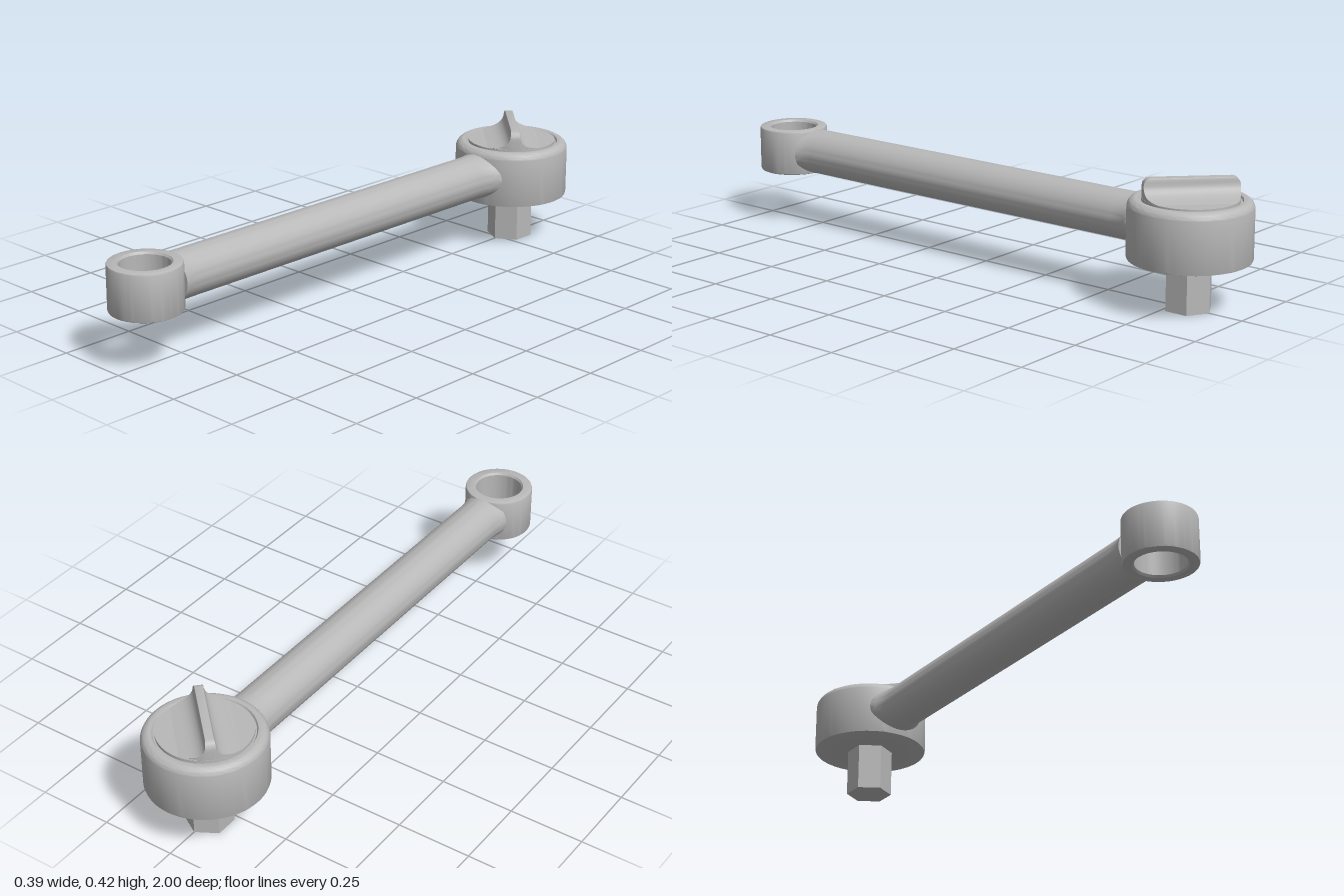
import * as THREE from 'three';
import { toCreasedNormals } from 'three/addons/utils/BufferGeometryUtils.js';

const HEAD_Z = -0.805;
const RING_Z = 0.883;

export function createModel() {
  const model = new THREE.Group();
  model.name = 'ratchetWrench';
  const steel = new THREE.MeshStandardMaterial({ color: 0xb8b8b8 });
  steel.name = 'steel';

  const add = (name, geometry, x, y, z) => {
    const mesh = new THREE.Mesh(geometry, steel);
    mesh.name = name;
    mesh.position.set(x, y, z);
    model.add(mesh);
    return mesh;
  };
  const lathe = (points, segments = 72) => toCreasedNormals(
    new THREE.LatheGeometry(points.map(([r, y]) => new THREE.Vector2(r, y)), segments), 0.6);

  // Round head: small lower bevel, large rounded shoulder, shallow groove round the dial
  const shoulder = [];
  for (let i = 0; i <= 8; i++) {
    const a = (i / 8) * Math.PI / 2;
    shoulder.push([0.168 + 0.027 * Math.cos(a), 0.322 + 0.03 * Math.sin(a)]);
  }
  add('head', lathe([
    [0, 0.16], [0.187, 0.16], [0.193, 0.162], [0.195, 0.168],
    ...shoulder, [0.16, 0.351], [0.156, 0.344], [0, 0.344],
  ]), 0, 0, HEAD_Z);

  // Dial plate inside the head
  add('dial', lathe([[0.151, 0.34], [0.151, 0.354], [0, 0.354]]), 0, 0, HEAD_Z);

  // Thumb grip: a diagonal blade with concave flanks, its ends following the dial edge
  add('thumbGrip', thumbGrip(), 0, 0, HEAD_Z).rotation.y = -Math.PI / 4;

  // Hexagonal drive, one corner facing the front
  add('hexDrive', new THREE.CylinderGeometry(0.0775, 0.0775, 0.165, 6).toNonIndexed(), 0, 0.0825, HEAD_Z);
  const hex = model.getObjectByName('hexDrive').geometry;
  hex.computeVertexNormals();

  // Handle: a round bar that widens sideways where it meets the head and the ring
  const stations = [-0.67, -0.635, -0.62, -0.605, -0.585, -0.56, -0.2, 0.2, 0.6, 0.73, 0.755, 0.775, 0.793];
  const handle = new THREE.LatheGeometry(
    [[0, -0.67], ...stations.map((z) => [0.077, z]), [0, 0.793]].map(([r, z]) => new THREE.Vector2(r, z)), 48);
  handle.rotateX(Math.PI / 2);
  const p = handle.attributes.position;
  for (let i = 0; i < p.count; i++) {
    const z = p.getZ(i);
    const toHead = THREE.MathUtils.clamp((-0.56 - z) / 0.08, 0, 1);
    const toRing = THREE.MathUtils.clamp((z - 0.73) / 0.063, 0, 1);
    p.setX(i, p.getX(i) * (1 + 0.35 * toHead ** 2 + 0.14 * toRing ** 2));
  }
  add('handle', toCreasedNormals(handle, 0.6), 0, 0.257, 0);

  // Hanging ring at the front end
  add('endRing', lathe([
    [0.08, 0.327], [0.08, 0.186], [0.085, 0.179], [0.111, 0.179], [0.115, 0.181], [0.117, 0.186],
    [0.117, 0.327], [0.115, 0.332], [0.111, 0.334], [0.085, 0.334], [0.08, 0.327],
  ]), 0, 0, RING_Z);

  return model;
}

// Stacks outlines of a strip clipped by a circle: [height, half width, circle radius]
function thumbGrip() {
  const levels = [
    [0.352, 0.1, 0.15], [0.3545, 0.09, 0.15], [0.357, 0.07, 0.15], [0.361, 0.052, 0.15],
    [0.366, 0.039, 0.15], [0.374, 0.028, 0.15], [0.383, 0.021, 0.15], [0.393, 0.017, 0.15],
    [0.403, 0.016, 0.148], [0.411, 0.015, 0.142], [0.415, 0.014, 0.136], [0.417, 0.013, 0.128],
  ];
  const steps = 8;
  const n = 2 * (steps + 1);
  const position = [];
  const index = [];
  for (const [y, w, r] of levels) {
    const half = Math.asin(w / r);
    for (const turn of [0, Math.PI]) {
      for (let i = 0; i <= steps; i++) {
        const a = turn + half * (2 * i / steps - 1);
        position.push(r * Math.cos(a), y, -r * Math.sin(a));
      }
    }
  }
  for (let k = 0; k < levels.length - 1; k++) {
    for (let i = 0; i < n; i++) {
      const a = k * n + i;
      const b = k * n + (i + 1) % n;
      index.push(a, b, b + n, a, b + n, a + n);
    }
  }
  const top = (levels.length - 1) * n;
  for (let i = 1; i < n - 1; i++) index.push(top, top + i, top + i + 1);
  const geometry = new THREE.BufferGeometry();
  geometry.setAttribute('position', new THREE.Float32BufferAttribute(position, 3));
  geometry.setIndex(index);
  return toCreasedNormals(geometry, 0.6);
}
